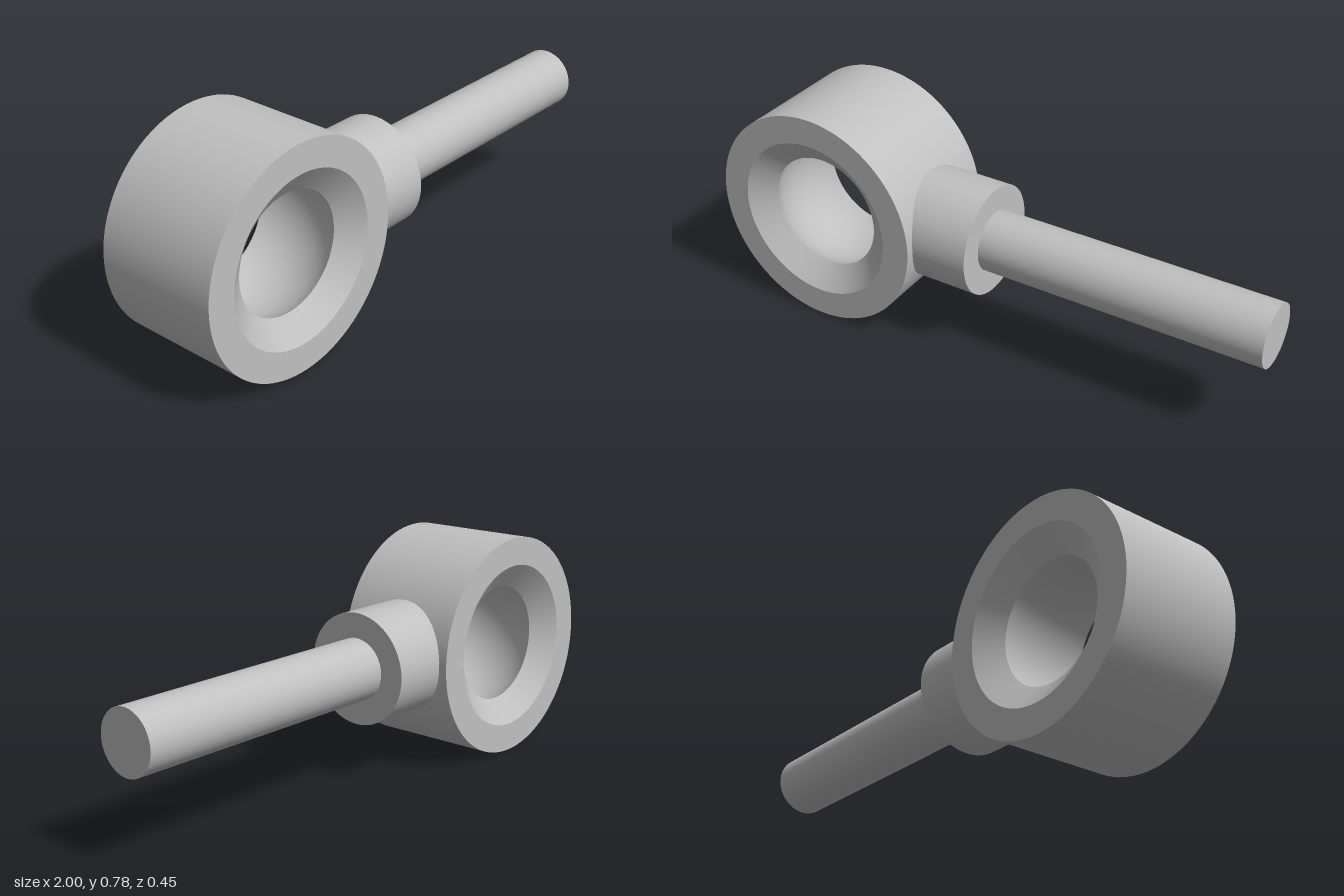
import * as THREE from 'three';
import { mergeGeometries } from 'three/addons/utils/BufferGeometryUtils.js';

const SEGMENTS = 96;
const AXIS_Y = 0.393;   // height of the shaft axis
const EYE_X = -0.608;   // centre of the eye ring

// Each section is lathed separately so the edges between them stay sharp.
function latheSections(sections) {
  return mergeGeometries(sections.map((points) =>
    new THREE.LatheGeometry(points.map(([r, h]) => new THREE.Vector2(r, h)), SEGMENTS)));
}

export function createModel() {
  const model = new THREE.Group();
  model.name = 'rodEnd';
  const steel = new THREE.MeshStandardMaterial({ color: 0xc0c0c0 });
  steel.name = 'steel grey';

  // Eye ring: flat faces, conical chamfers and a spherical socket
  const outer = 0.392, mouth = 0.292, throat = 0.207;
  const half = 0.224, seat = 0.158;
  const socketRadius = Math.hypot(throat, seat);
  const socket = [];
  for (let i = 0; i <= 20; i++) {
    const a = Math.atan2(seat, throat) * (1 - i / 10);
    socket.push([socketRadius * Math.cos(a), socketRadius * Math.sin(a)]);
  }
  const ringGeometry = latheSections([
    [[outer, -half], [outer, half]],
    [[outer, half], [mouth, half]],
    [[mouth, half], [throat, seat]],
    socket,
    [[throat, -seat], [mouth, -half]],
    [[mouth, -half], [outer, -half]],
  ]);
  ringGeometry.rotateX(Math.PI / 2);
  const ring = new THREE.Mesh(ringGeometry, steel);
  ring.name = 'eyeRing';
  ring.position.set(EYE_X, AXIS_Y, 0);
  model.add(ring);

  // Round bars along x: the neck starts inside the ring wall
  const addBar = (name, radius, x0, x1) => {
    const geometry = new THREE.CylinderGeometry(radius, radius, x1 - x0, SEGMENTS);
    geometry.rotateZ(-Math.PI / 2);
    const bar = new THREE.Mesh(geometry, steel);
    bar.name = name;
    bar.position.set((x0 + x1) / 2, AXIS_Y, 0);
    model.add(bar);
  };
  addBar('neck', 0.195, -0.3, -0.012);
  addBar('shaft', 0.108, -0.05, 1);

  return model;
}
